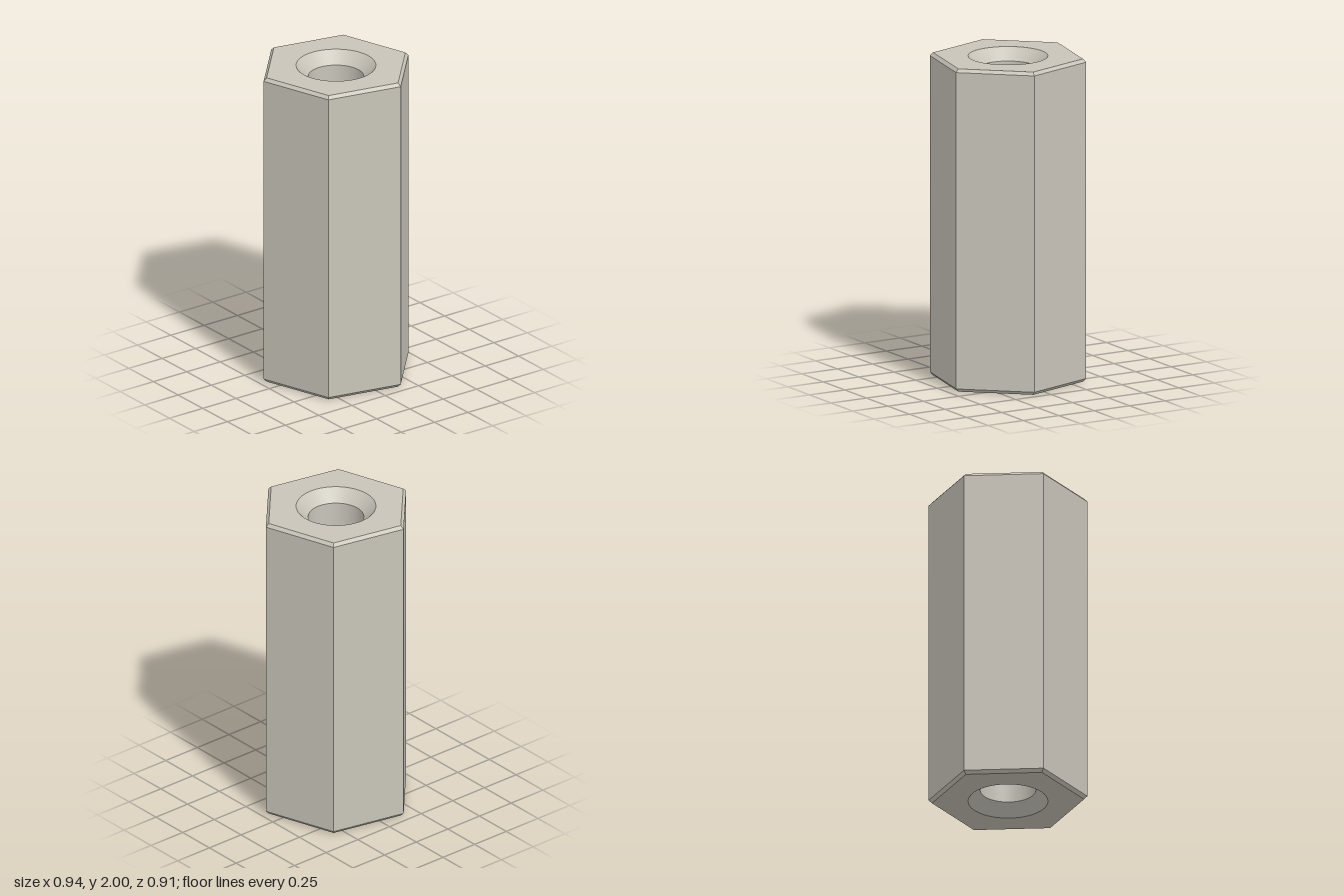
import * as THREE from 'three';
import { mergeGeometries } from 'three/addons/utils/BufferGeometryUtils.js';

const HEIGHT = 2, R = 0.48, CHAMFER = 0.02;   // hexagonal body
const BORE = 0.168, SINK = 0.241;             // bore and countersink radii
const TURN = THREE.MathUtils.degToRad(12);    // angle of the first corner from +x
const SEGMENTS = 64;

function lathe(points, segments, start = 0) {
  return new THREE.LatheGeometry(points.map(([r, y]) => new THREE.Vector2(r, y)), segments, start);
}

// Hexagonal end face with a round opening; side is 1 for the top, -1 for the bottom
function endFace(side) {
  const corners = [];
  for (let i = 0; i < 6; i++) {
    const a = TURN + i * Math.PI / 3, r = R - CHAMFER;
    corners.push(new THREE.Vector2(r * Math.cos(a), -side * r * Math.sin(a)));
  }
  const shape = new THREE.Shape(corners);
  shape.holes.push(new THREE.Path().absarc(0, 0, SINK, 0, Math.PI * 2, true));
  const geometry = new THREE.ShapeGeometry(shape, SEGMENTS / 2);
  geometry.rotateX(-side * Math.PI / 2);
  geometry.translate(0, side > 0 ? HEIGHT : 0, 0);
  return geometry;
}

export function createModel() {
  const group = new THREE.Group();
  group.name = 'hexStandoff';
  const metal = new THREE.MeshStandardMaterial({ color: 0xc8c4b9 });
  metal.name = 'warmGreyMetal';

  const add = (name, geometry) => {
    const mesh = new THREE.Mesh(geometry, metal);
    mesh.name = name;
    group.add(mesh);
  };

  // Six flat sides with chamfered ends
  const sides = lathe([
    [R - CHAMFER, 0], [R, CHAMFER], [R, HEIGHT - CHAMFER], [R - CHAMFER, HEIGHT],
  ], 6, Math.PI / 2 - TURN).toNonIndexed();
  sides.computeVertexNormals();
  add('hexBody', sides);

  add('topFace', endFace(1));
  add('bottomFace', endFace(-1));

  // Through bore with a 45 degree countersink at each end, edges kept sharp
  const depth = SINK - BORE;
  const profile = [[SINK, HEIGHT], [BORE, HEIGHT - depth], [BORE, depth], [SINK, 0]];
  const bands = [0, 1, 2].map(i => lathe(profile.slice(i, i + 2), SEGMENTS));
  add('bore', mergeGeometries(bands));

  return group;
}
